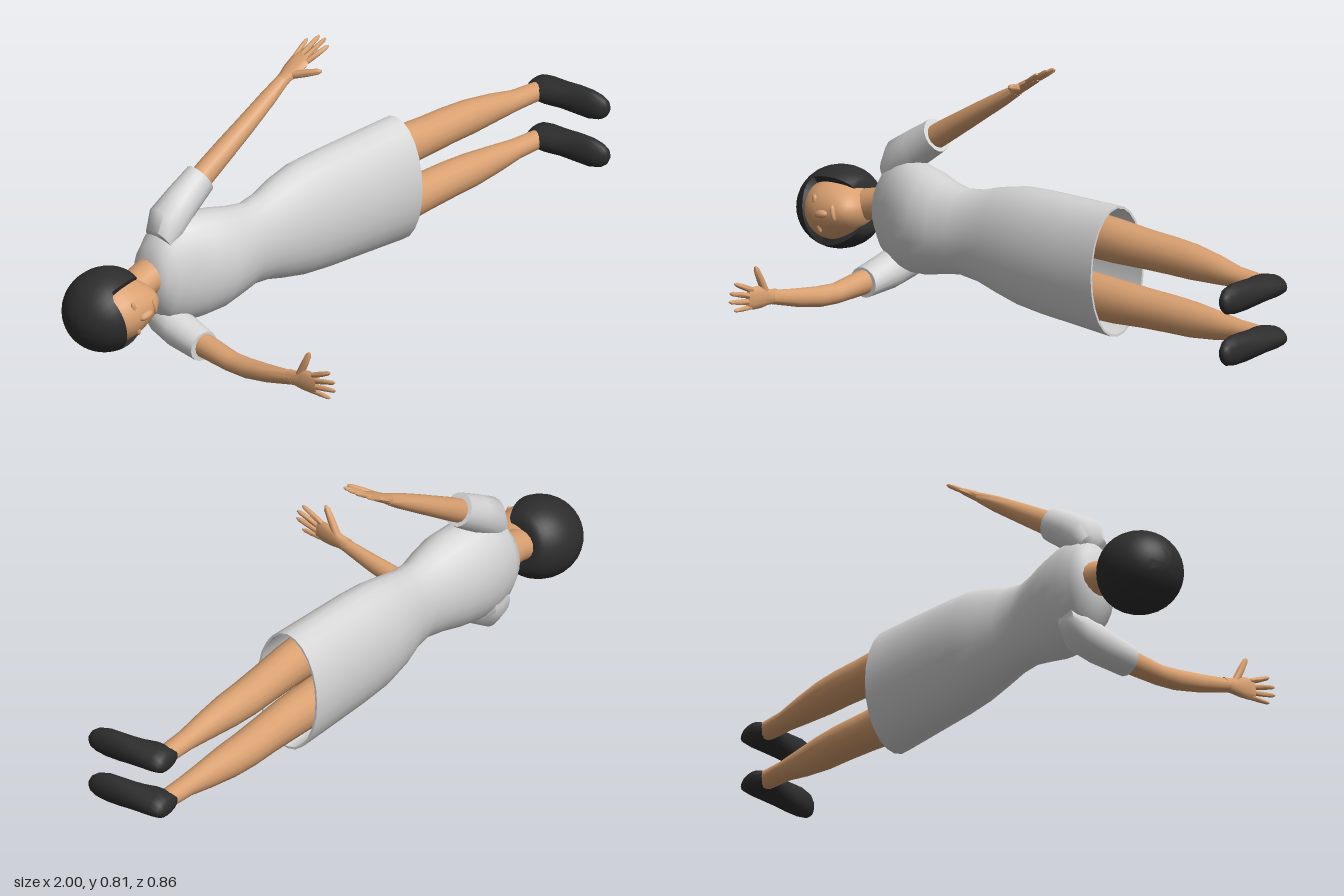
import * as THREE from 'three';
import { toCreasedNormals } from 'three/addons/utils/BufferGeometryUtils.js';

const V = (x, y, z) => new THREE.Vector3(x, y, z);
const X = V(1, 0, 0), Y = V(0, 1, 0), Z = V(0, 0, 1);
const MID = 0.244; // height of the body's mirror plane

const material = (name, color) => Object.assign(new THREE.MeshStandardMaterial({ color }), { name });

// Skin elliptical sections [x, y, z, radius along u, radius along v] and cap both ends
function loft(sections, u, v, sides = 16) {
  const pos = [], idx = [], n = sides;
  for (const [x, y, z, ru, rv] of sections) {
    for (let j = 0; j < n; j++) {
      const a = (j / n) * Math.PI * 2;
      const p = V(x, y, z).addScaledVector(u, ru * Math.cos(a)).addScaledVector(v, rv * Math.sin(a));
      pos.push(p.x, p.y, p.z);
    }
  }
  const tri = (a, b, c) => idx.push(a, b, c);
  const last = sections.length - 1;
  for (let i = 0; i < last; i++) {
    for (let j = 0; j < n; j++) {
      const a = i * n + j, b = i * n + ((j + 1) % n);
      tri(a, b, a + n);
      tri(b, b + n, a + n);
    }
  }
  const c = last * n + n;
  pos.push(...sections[0].slice(0, 3), ...sections[last].slice(0, 3));
  for (let j = 0; j < n; j++) {
    const k = (j + 1) % n;
    tri(c, k, j);
    tri(c + 1, last * n + j, last * n + k);
  }
  const along = V(...sections[1]).sub(V(...sections[0]));
  if (V(0, 0, 0).crossVectors(u, v).dot(along) < 0) idx.reverse();
  const g = new THREE.BufferGeometry();
  g.setAttribute('position', new THREE.Float32BufferAttribute(pos, 3));
  g.setIndex(idx);
  return toCreasedNormals(g, 1);
}

function add(parent, name, geometry, mat) {
  const mesh = new THREE.Mesh(geometry, mat);
  mesh.name = name;
  parent.add(mesh);
  return mesh;
}

// Place a group by its origin and its x and y axes
function place(group, origin, xAxis, yAxis) {
  const m = new THREE.Matrix4().makeBasis(xAxis, yAxis, V(0, 0, 0).crossVectors(xAxis, yAxis));
  group.quaternion.setFromRotationMatrix(m);
  group.position.copy(origin);
}

// Open hand: fingers along y, thumb towards x
function makeHand(name, skin) {
  const hand = new THREE.Group();
  hand.name = name;
  add(hand, 'palm', loft([
    [0, -0.02, 0, 0.023, 0.017], [0.001, 0.01, 0, 0.024, 0.015], [0.004, 0.04, 0, 0.034, 0.014],
    [0.004, 0.075, 0, 0.036, 0.012], [0.003, 0.1, 0, 0.031, 0.008],
  ], X, Z, 12), skin);
  const digits = [
    ['thumb', 0.014, 0.025, 0.1, 0.078, 0.013], ['finger', 0.029, 0.085, 0.056, 0.163, 0.009],
    ['finger', 0.012, 0.09, 0.028, 0.18, 0.009], ['finger', -0.006, 0.09, 0.001, 0.18, 0.009],
    ['finger', -0.023, 0.085, -0.028, 0.155, 0.008],
  ];
  for (const [part, x0, y0, x1, y1, r] of digits) {
    const dir = V(x1 - x0, y1 - y0, 0), side = V(dir.y, -dir.x, 0).normalize();
    const ring = (t, s) => [x0 + dir.x * t, y0 + dir.y * t, 0, r * s, r * s * 0.9];
    add(hand, part, loft([ring(0, 1), ring(0.5, 0.95), ring(0.88, 0.75), ring(1, 0.3)], side, Z, 8), skin);
  }
  return hand;
}

function makeHead(skin, hairMat) {
  const head = new THREE.Group();
  head.name = 'head';

  // Face: an ellipsoid narrowed to the chin
  const face = new THREE.SphereGeometry(1, 28, 20);
  const p = face.attributes.position;
  for (let i = 0; i < p.count; i++) {
    const y = p.getY(i), low = Math.max(0, -y);
    p.setXYZ(i, p.getX(i) * 0.1 * (1 - 0.2 * low), y * 0.123 - 0.018, p.getZ(i) * 0.12 + 0.01 + 0.045 * low * low);
  }
  face.computeVertexNormals();
  add(head, 'face', face, skin);

  // Bobbed hair: a cap sunk behind the face in front and levelled off at the neck
  const hair = new THREE.SphereGeometry(1, 32, 24);
  const h = hair.attributes.position;
  for (let i = 0; i < h.count; i++) {
    const x = h.getX(i), y = h.getY(i), z = h.getZ(i);
    const angle = Math.abs(Math.atan2(x, z));
    const s = y < 0.25 && angle < 0.98 ? 0.6 : 1;
    const full = y < 0 ? 1 + 0.12 * y * y : 1;
    h.setXYZ(i, x * 0.127 * s * full, Math.max(y * 0.134 * s, -0.108), z * 0.13 * s);
  }
  add(head, 'hair', toCreasedNormals(hair, 0.7), hairMat);

  // Nose, lips and closed lids in low relief
  const bump = (name, x, y, z, sx, sy, sz) => {
    const m = add(head, name, new THREE.SphereGeometry(1, 12, 8), skin);
    m.position.set(x, y, z);
    m.scale.set(sx, sy, sz);
  };
  bump('nose', 0, -0.046, 0.128, 0.013, 0.026, 0.014);
  bump('lips', 0, -0.09, 0.118, 0.026, 0.008, 0.011);
  for (const s of [-1, 1]) bump('eyelid', s * 0.04, -0.016, 0.114, 0.02, 0.009, 0.008);
  return head;
}

export function createModel() {
  const model = new THREE.Group();
  model.name = 'lyingWoman';
  const skin = material('skin', 0xd9a070);
  const dark = material('hair and shoes', 0x2d2d2d);
  const cloth = material('dress cloth', 0xd6d6d6);

  // Dress along x: [x, half width, back z, front z], turned in at the hem
  const dress = [
    [-0.685, 0.06, -0.36, -0.255], [-0.67, 0.105, -0.38, -0.235], [-0.64, 0.15, -0.39, -0.215],
    [-0.58, 0.172, -0.393, -0.195], [-0.52, 0.172, -0.392, -0.17], [-0.45, 0.163, -0.382, -0.158],
    [-0.38, 0.146, -0.364, -0.167], [-0.31, 0.134, -0.35, -0.184], [-0.24, 0.143, -0.358, -0.188],
    [-0.17, 0.164, -0.377, -0.183], [-0.08, 0.184, -0.39, -0.176], [0.02, 0.192, -0.392, -0.171],
    [0.18, 0.198, -0.392, -0.167], [0.32, 0.203, -0.391, -0.163],
    [0.32, 0.196, -0.384, -0.17], [0.1, 0.188, -0.384, -0.178], [-0.1, 0.17, -0.38, -0.185],
  ].map(([x, w, back, front]) => [x, MID, (back + front) / 2, w, (front - back) / 2]);
  add(model, 'dress', loft(dress, Y, Z, 24), cloth);

  // Neck
  add(model, 'neck', loft([
    [-0.64, 0.247, -0.31, 0.07, 0.065], [-0.69, 0.246, -0.309, 0.054, 0.057],
    [-0.73, 0.238, -0.305, 0.05, 0.055], [-0.82, 0.215, -0.3, 0.05, 0.055],
  ], Y, Z), skin);

  const head = makeHead(skin, dark);
  const crown = V(-0.976, -0.22, 0).normalize();
  place(head, V(-0.866, 0.204, -0.3), V(0, 0, 0).crossVectors(crown, Z), crown);
  model.add(head);

  // Legs and shoes, mirrored about the middle
  for (const s of [-1, 1]) {
    const side = s > 0 ? 'left' : 'right';
    const leg = [
      [-0.05, 0.095, -0.28, 0.075, 0.07], [0.2, 0.095, -0.28, 0.071, 0.063], [0.32, 0.094, -0.28, 0.068, 0.06],
      [0.44, 0.092, -0.285, 0.061, 0.057], [0.54, 0.091, -0.29, 0.058, 0.055], [0.63, 0.09, -0.289, 0.055, 0.05],
      [0.73, 0.087, -0.287, 0.045, 0.04], [0.82, 0.082, -0.285, 0.032, 0.033], [0.94, 0.08, -0.285, 0.028, 0.03],
    ].map(([x, off, z, ru, rv]) => [x, MID + s * off, z, ru, rv]);
    add(model, side + 'Leg', loft(leg, Y, Z), skin);

    // Shoe along z: [z, upper x, sole x, half width]
    const shoe = [
      [-0.325, 0.925, 0.98, 0.018], [-0.315, 0.895, 0.997, 0.03], [-0.285, 0.888, 1, 0.037],
      [-0.25, 0.893, 1, 0.04], [-0.21, 0.912, 1, 0.042], [-0.16, 0.928, 1, 0.046],
      [-0.11, 0.938, 1, 0.047], [-0.075, 0.95, 1, 0.04], [-0.058, 0.963, 0.998, 0.028], [-0.05, 0.975, 0.992, 0.012],
    ].map(([z, top, sole, w]) => [(top + sole) / 2, MID + s * 0.08, z, w, (sole - top) / 2]);
    add(model, side + 'Shoe', loft(shoe, Y, X), dark);
  }

  // Left arm, reaching up and towards the feet
  const reach = V(0.845, 0.536, 0).normalize(), across = V(-reach.y, reach.x, 0);
  add(model, 'leftSleeve', loft([
    [-0.645, 0.36, -0.3, 0.045, 0.05], [-0.612, 0.403, -0.303, 0.064, 0.062], [-0.55, 0.449, -0.305, 0.058, 0.055],
    [-0.466, 0.504, -0.306, 0.053, 0.047],
  ], across, Z), cloth);
  add(model, 'leftArm', loft([
    [-0.53, 0.46, -0.306, 0.038, 0.036], [-0.44, 0.518, -0.306, 0.037, 0.035], [-0.36, 0.568, -0.305, 0.033, 0.034],
    [-0.28, 0.618, -0.303, 0.029, 0.031], [-0.19, 0.674, -0.303, 0.024, 0.027], [-0.126, 0.714, -0.304, 0.017, 0.023],
  ], across, Z), skin);
  const leftHand = makeHand('leftHand', skin);
  place(leftHand, V(-0.126, 0.714, -0.304), Z, reach);
  model.add(leftHand);

  // Right arm, reaching forwards
  add(model, 'rightSleeve', loft([
    [-0.6, 0.125, -0.37, 0.035, 0.035], [-0.605, 0.095, -0.33, 0.058, 0.063], [-0.61, 0.07, -0.25, 0.058, 0.058],
    [-0.612, 0.05, -0.14, 0.053, 0.046],
  ], X, Y), cloth);
  add(model, 'rightArm', loft([
    [-0.61, 0.055, -0.2, 0.037, 0.037], [-0.61, 0.051, -0.12, 0.036, 0.037], [-0.611, 0.041, -0.02, 0.033, 0.031],
    [-0.612, 0.045, 0.05, 0.03, 0.032], [-0.613, 0.06, 0.14, 0.024, 0.029], [-0.614, 0.084, 0.25, 0.016, 0.022],
  ], X, Y), skin);
  const rightHand = makeHand('rightHand', skin);
  const tilt = V(0, 0.1, 1).normalize();
  place(rightHand, V(-0.614, 0.085, 0.25), V(0, tilt.z, -tilt.y), tilt);
  model.add(rightHand);

  return model;
}
